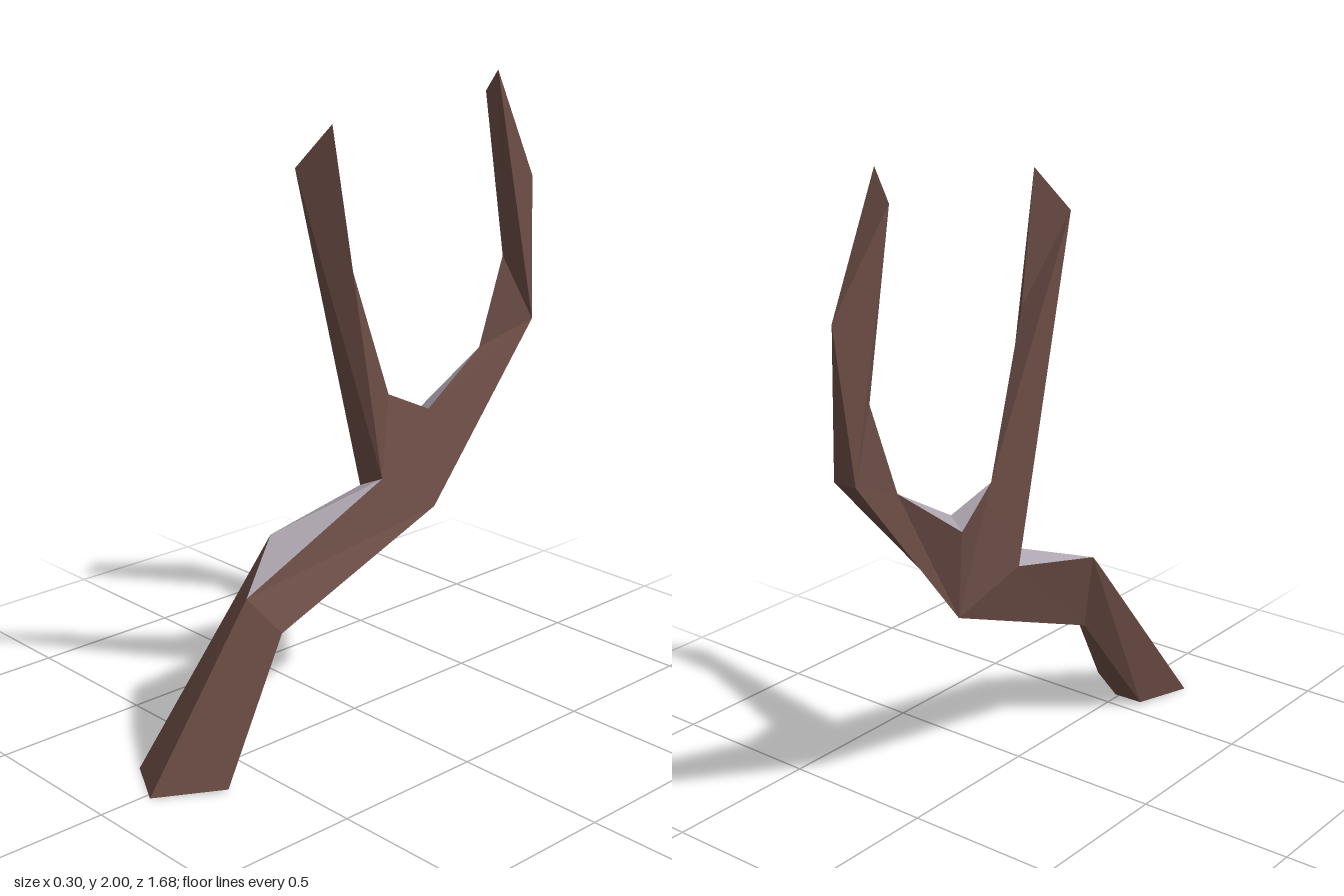
import * as THREE from 'three';

const bark = new THREE.MeshStandardMaterial({ color: 0x6b4c45, side: THREE.DoubleSide });
bark.name = 'brown bark';
const lichen = new THREE.MeshStandardMaterial({ color: 0xaca4ae, side: THREE.DoubleSide });
lichen.name = 'pale grey top';

// Flat-shaded mesh from a list of convex faces
function facesMesh(name, faces, material) {
  const pos = [];
  for (const f of faces) {
    for (let i = 1; i < f.length - 1; i++) {
      const tri = [f[0], f[i], f[i + 1]];
      if (new Set(tri).size === 3) tri.forEach((p) => pos.push(...p)); // skip collapsed corners
    }
  }
  const g = new THREE.BufferGeometry();
  g.setAttribute('position', new THREE.Float32BufferAttribute(pos, 3));
  g.computeVertexNormals();
  const mesh = new THREE.Mesh(g, material);
  mesh.name = name;
  return mesh;
}

// Side faces between successive cross-sections (repeated points make triangles)
function loft(rings) {
  const faces = [];
  for (let r = 0; r < rings.length - 1; r++) {
    const lo = rings[r], hi = rings[r + 1], n = lo.length;
    for (let j = 0; j < n; j++) {
      const k = (j + 1) % n;
      const quad = [lo[j], lo[k], hi[k], hi[j]];
      faces.push(quad.filter((p, i) => p !== quad[(i + 3) % 4]));
    }
  }
  return faces;
}

export function createModel() {
  const group = new THREE.Group();
  group.name = 'branch';

  // Trunk cross-sections: front, left, underside, right
  const base = [[0.02, 0, 0.84], [0.15, 0.01, 0.65], [-0.01, 0.02, 0.53], [-0.1, 0.01, 0.55], [-0.15, 0, 0.75]];
  const A2 = [0.02, 0.52, 0.46], B2 = [0.11, 0.42, 0.4], C2 = [-0.04, 0.37, 0.3], E2 = [-0.1, 0.64, 0.26];
  const A3 = [0.02, 0.765, -0.1], B3 = [0.085, 0.65, -0.27], C3 = [-0.04, 0.62, -0.34], E3 = [-0.08, 0.72, -0.1];
  // Crotch between the two branches
  const P = [-0.045, 1.01, -0.19], L = [-0.01, 0.94, -0.335], M = [-0.09, 0.92, -0.38];
  // Rear branch: elbow, bend and tip
  const N = [-0.04, 1.09, -0.6], QL = [0.02, 1.165, -0.79], QR = [-0.07, 1.17, -0.8];
  const inner = [-0.045, 1.38, -0.71], outer = [-0.04, 1.63, -0.84];
  const tipL = [0.035, 2, -0.58], tipR = [-0.07, 1.92, -0.64];
  // Front branch: kink and tip
  const K = [0.02, 1.49, 0.04], T1 = [-0.05, 1.77, 0.19], T2 = [0.035, 1.9, 0.12];

  const lower = loft([base, [A2, B2, C2, C2, E2]]);
  const middle = loft([[A2, B2, C2, E2], [A3, B3, C3, E3]]);
  const trunkTop = [[E2, A2, A3], [E2, A3, E3]];
  middle.pop(); // the upper side is the pale patch
  group.add(facesMesh('lowerTrunk', [...lower, [...base].reverse()], bark));
  group.add(facesMesh('middleTrunk', middle, bark));
  group.add(facesMesh('paleTrunkTop', trunkTop, lichen));
  group.add(facesMesh('fork', [[A3, B3, L, P], [C3, E3, P, M]], bark));

  const limb = loft([[L, B3, C3, M], [N, QL, QR, N]]);
  const limbTop = limb.pop();
  group.add(facesMesh('rearLimb', limb, bark));
  group.add(facesMesh('paleCrotch', [[P, L, M], limbTop], lichen));

  const rearTip = [tipR, tipL, tipL, outer, tipR];
  const rear = loft([[N, N, QL, QR, QR], [inner, inner, QL, outer, QR], rearTip]);
  group.add(facesMesh('rearBranch', [...rear, [tipR, tipL, outer]], bark));

  const front = loft([[A3, P, E3], [A3, K, T1], [T2, K, T1]]);
  group.add(facesMesh('frontBranch', [...front, [T2, K, T1]], bark));

  return group;
}
